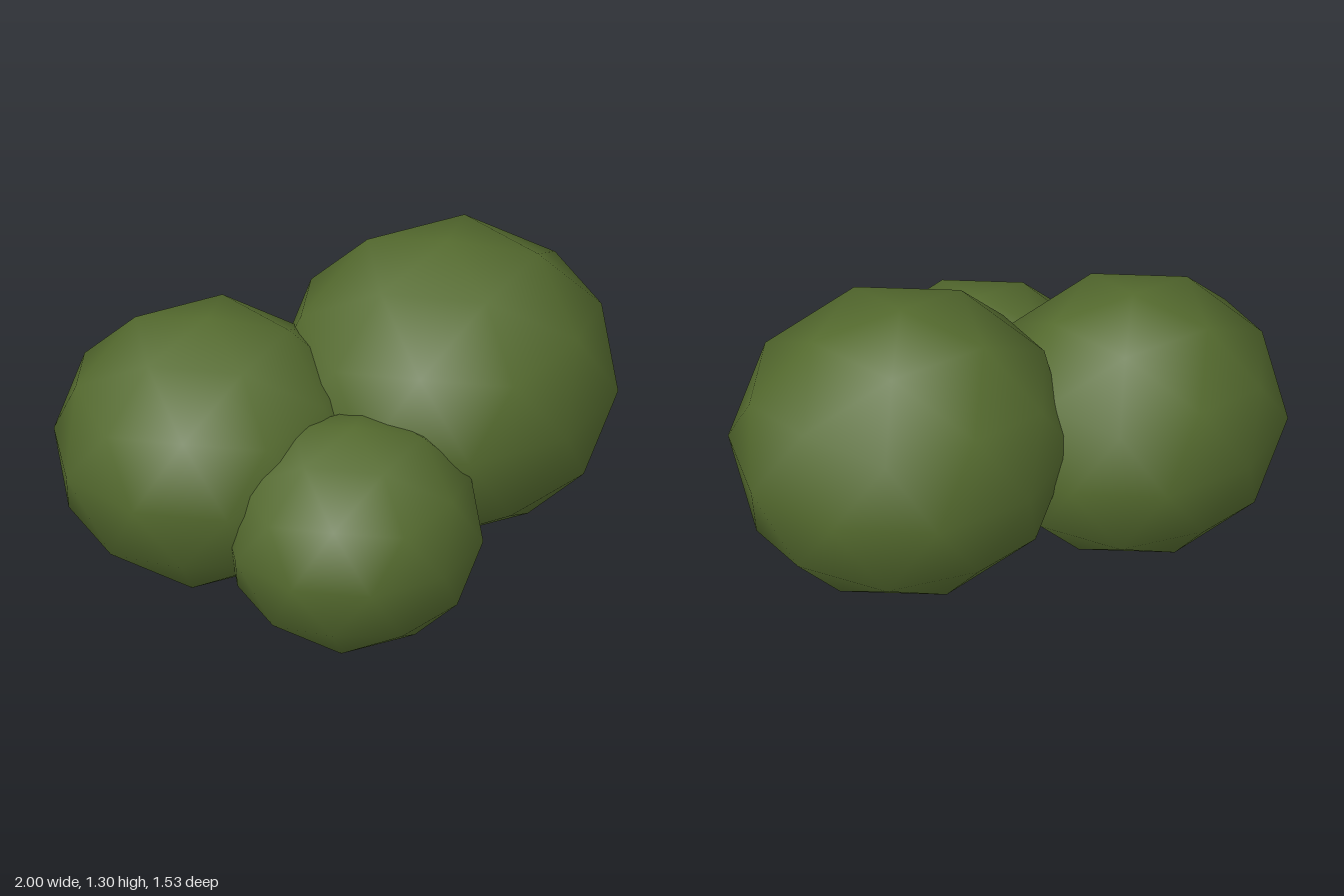
import * as THREE from 'three';

export function createModel() {
  const model = new THREE.Group();
  model.name = 'bush';
  const foliage = new THREE.MeshStandardMaterial({ color: 0x556b2f });
  foliage.name = 'olive green foliage';

  // Smooth-shaded icosphere, tipped so that a corner is its top pole
  const clump = new THREE.IcosahedronGeometry(1, 1);
  clump.rotateZ(-Math.atan(2 / (1 + Math.sqrt(5))));

  // Leaf clumps: name, centre, radii
  const clumps = [
    ['largeLeftClump', [0.41, 0.715, -0.197], [0.62, 0.585, 0.566]],
    ['mediumRightClump', [-0.47, 0.597, -0.082], [0.557, 0.53, 0.513]],
    ['smallFrontClump', [0, 0.447, 0.332], [0.469, 0.445, 0.431]],
  ];
  for (const [name, centre, radii] of clumps) {
    const mesh = new THREE.Mesh(clump, foliage);
    mesh.name = name;
    mesh.position.set(...centre);
    mesh.scale.set(...radii);
    model.add(mesh);
  }
  return model;
}
